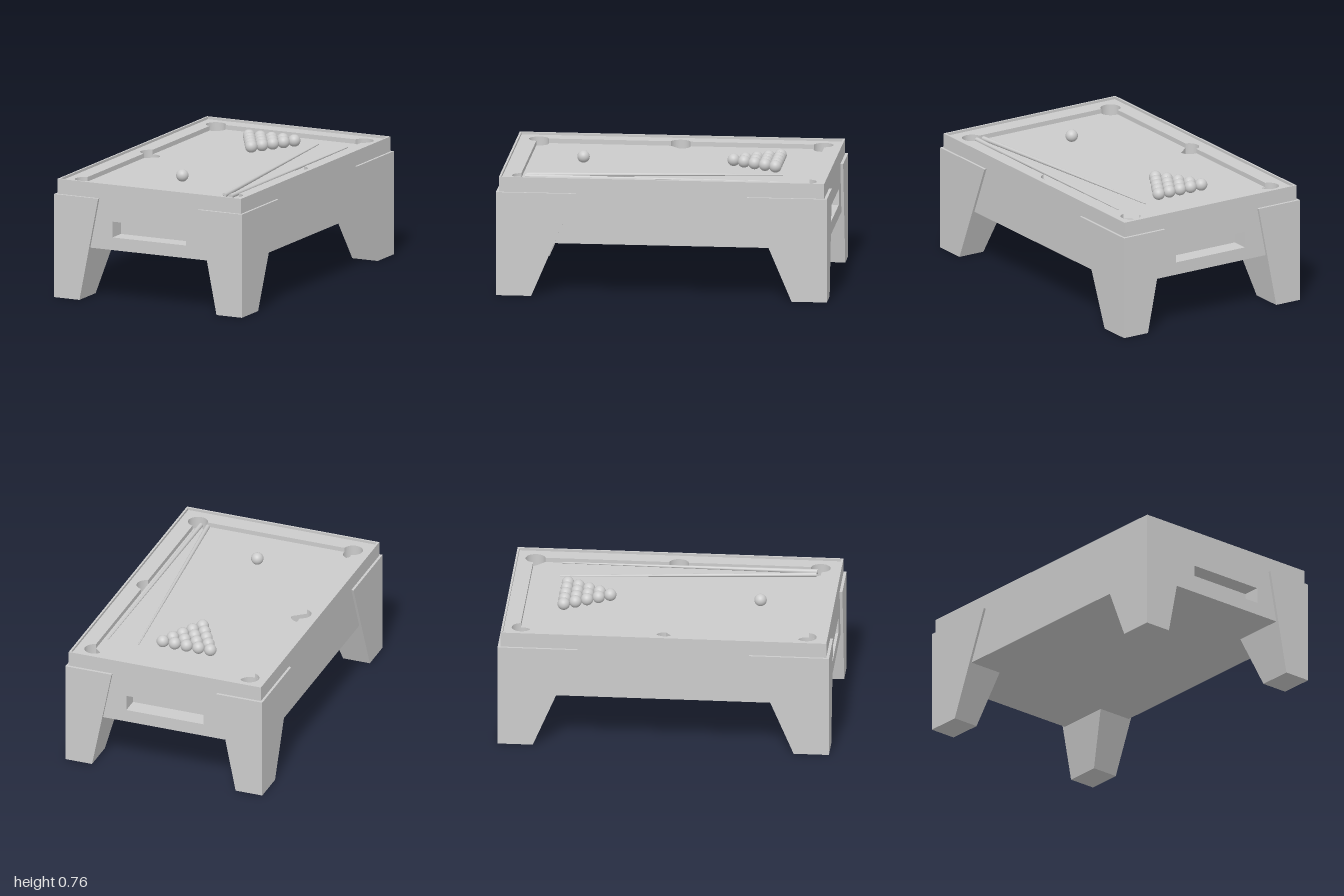
import * as THREE from 'three';

const W = 0.62, L = 0.983;                 // half width and half length of the table body
const BASE = 0.325, POCKET_FLOOR = 0.6, BED = 0.684, RAIL = 0.712, TOP = 0.727;
const R = 0.06, A = 1.369, B = 0.167;      // pocket radius, angles where pockets meet the cushions
const PI = Math.PI;

// Pockets counter-clockwise: x, -z, arc through the rail, arc through the bed
const POCKETS = [
  [0.5, 0, -A, A, -A, A],
  [0.5, 0.865, -A, PI - B, -A, PI - B],
  [-0.5, 0.865, B, PI + A, 0, 2 * PI],
  [-0.5, 0, PI - A, PI + A, 0, PI + A],
  [-0.5, -0.855, PI - A, 2 * PI - B, 0, 2 * PI],
  [0.5, -0.855, PI + B, 2 * PI + A, 0, 2 * PI],
];

function rect(x0, y0, x1, y1, Type = THREE.Shape) {
  return new Type([[x0, y0], [x1, y0], [x1, y1], [x0, y1]].map(([x, y]) => new THREE.Vector2(x, y)));
}

// Horizontal slab with holes between two heights
function slab(holes, y0, y1) {
  const shape = rect(-W, -L, W, L);
  shape.holes.push(...holes);
  return new THREE.ExtrudeGeometry(shape, { depth: y1 - y0, bevelEnabled: false, curveSegments: 28 })
    .rotateX(-PI / 2).translate(0, y0, 0);
}

// Corner leg: outer faces upright, inner faces tapering to the foot
function legGeometry(sx, sz) {
  const g = new THREE.BoxGeometry(1, 1, 1);
  const p = g.attributes.position;
  for (let i = 0; i < p.count; i++) {
    const top = p.getY(i) > 0;
    const x = p.getX(i) * sx > 0 ? 0.635 : top ? 0.337 : 0.463;
    const z = p.getZ(i) * sz > 0 ? 1 : top ? 0.517 : 0.787;
    p.setXYZ(i, sx * x, top ? 0.635 : 0, sz * z);
  }
  g.computeVertexNormals();
  return g;
}

export function createModel() {
  const model = new THREE.Group();
  const material = new THREE.MeshStandardMaterial({ color: 0xcccccc });
  const add = (name, geometry, parent = model) => {
    const mesh = new THREE.Mesh(geometry, material);
    mesh.name = name;
    parent.add(mesh);
    return mesh;
  };

  // Cabinet core and end panels with a ball return slot in each
  const slotDepth = 0.11, h = POCKET_FLOOR - BASE;
  add('cabinetCore', new THREE.BoxGeometry(2 * W, h, 2 * (L - slotDepth)))
    .position.y = BASE + h / 2;
  const panel = rect(-W, BASE, W, POCKET_FLOOR);
  panel.holes.push(rect(-0.248, 0.403, 0.248, 0.5, THREE.Path));
  const panelGeometry = new THREE.ExtrudeGeometry(panel, { depth: slotDepth, bevelEnabled: false });
  add('frontPanel', panelGeometry).position.z = L - slotDepth;
  add('backPanel', panelGeometry).position.z = -L;

  // Bed pierced by the pockets
  const bedHoles = POCKETS.map(([x, y, , , a, b]) => new THREE.Path().absarc(x, y, R, a, b, false));
  add('bed', slab(bedHoles, POCKET_FLOOR, BED));

  // Rail around the field, its inner outline bulging out at the pockets
  const field = new THREE.Path();
  for (const [x, y, a, b] of POCKETS) field.absarc(x, y, R, a, b, false);
  field.closePath();
  add('rail', slab([field], BED, RAIL));

  // Thin raised edge
  const e = 0.012;
  add('outerRim', slab([rect(-W + e, -L + e, W - e, L - e, THREE.Path)], RAIL, TOP));

  // Legs
  for (const sx of [-1, 1])
    for (const sz of [-1, 1])
      add((sz > 0 ? 'front' : 'back') + (sx > 0 ? 'Left' : 'Right') + 'Leg', legGeometry(sx, sz));

  // Racked balls and the cue ball
  const ballRadius = 0.0375, ballY = BED + ballRadius, ballX = -0.007;
  const ballGeometry = new THREE.SphereGeometry(ballRadius, 28, 18);
  const rack = new THREE.Group();
  rack.name = 'rackedBalls';
  model.add(rack);
  for (let row = 0; row < 5; row++)
    for (let i = 0; i <= row; i++)
      add('ball', ballGeometry, rack)
        .position.set(ballX + (i - row / 2) * 0.0765, ballY, -0.372 - row * 0.067);
  add('cueBall', ballGeometry).position.set(ballX, ballY, 0.535);

  // Two tapered cues lying on the bed
  const cues = [
    [[0.28, -0.7], [0.43, 0.835]],
    [[0.475, -0.7], [0.475, 0.84]],
  ];
  for (const [tip, butt] of cues) {
    const from = new THREE.Vector3(butt[0], 0.701, butt[1]);
    const to = new THREE.Vector3(tip[0], 0.701, tip[1]);
    const dir = to.clone().sub(from);
    const cue = add('cue', new THREE.CylinderGeometry(0.004, 0.014, dir.length(), 16));
    cue.position.copy(from).add(to).multiplyScalar(0.5);
    cue.quaternion.setFromUnitVectors(new THREE.Vector3(0, 1, 0), dir.normalize());
  }
  return model;
}
